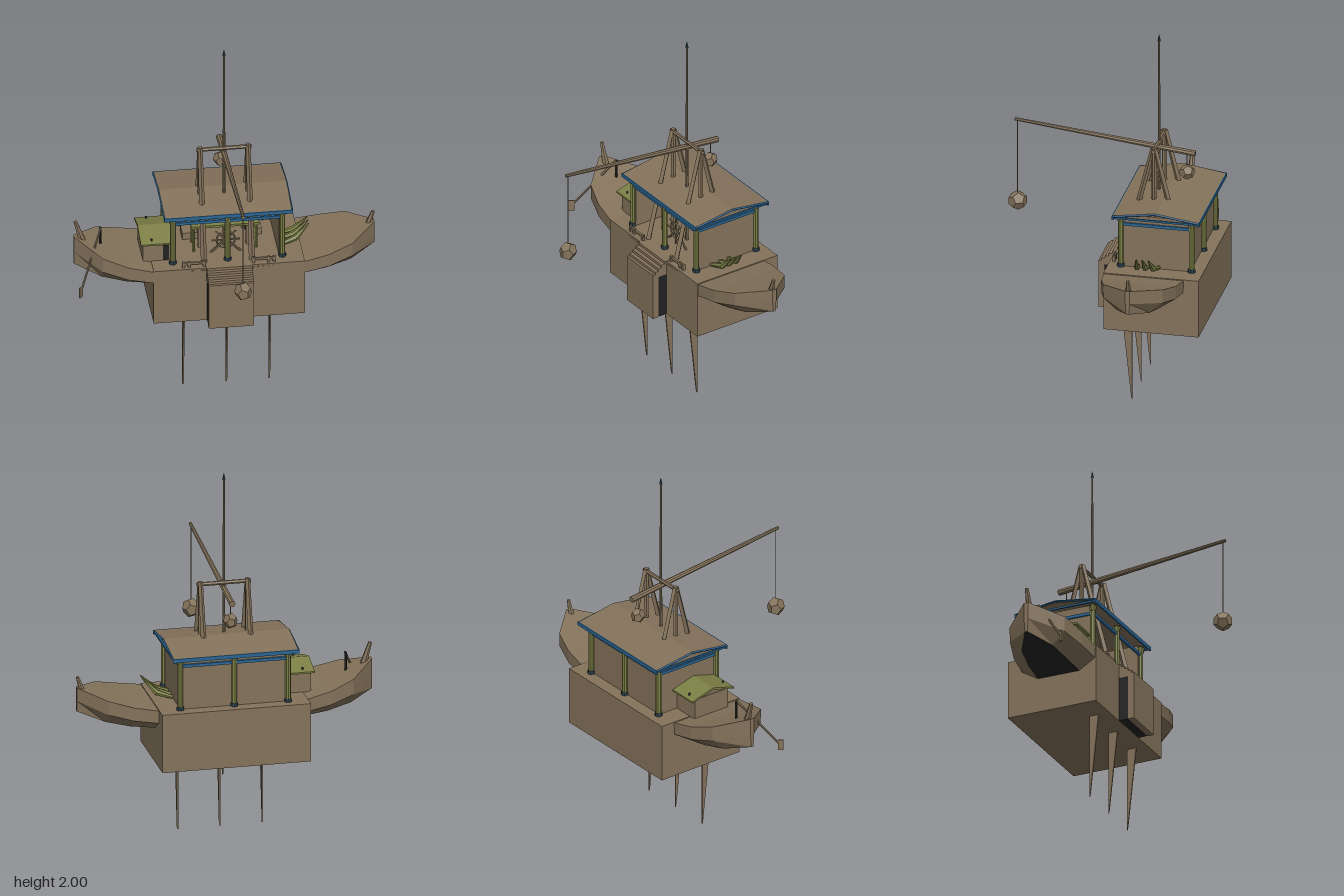
import * as THREE from 'three';

const mat = (name, color) => Object.assign(new THREE.MeshStandardMaterial({ color }), { name });
const CZ = -0.255; // centre line of the hull

export function createModel() {
  const model = new THREE.Group();
  model.name = 'riverHouseboat';
  const wood = mat('wood', 0x84735b);
  const green = mat('olive', 0x7b7f45);
  const blue = mat('blueTrim', 0x2a6492);
  const slate = mat('slateBlue', 0x2b3f4c);
  const dark = mat('dark', 0x222222);

  // Faceted mesh with hard edges
  function add(name, geo, material, parent = model) {
    const g = geo.index ? geo.toNonIndexed() : geo;
    g.computeVertexNormals();
    const mesh = new THREE.Mesh(g, material);
    mesh.name = name;
    parent.add(mesh);
    return mesh;
  }
  // Box given by its limits
  function box(name, m, x0, x1, y0, y1, z0, z1) {
    const mesh = add(name, new THREE.BoxGeometry(x1 - x0, y1 - y0, z1 - z0), m);
    mesh.position.set((x0 + x1) / 2, (y0 + y1) / 2, (z0 + z1) / 2);
    return mesh;
  }
  // Tapered pole from a to b
  function pole(name, m, a, b, r0, r1 = r0, sides = 6) {
    const A = new THREE.Vector3(...a), B = new THREE.Vector3(...b);
    const d = B.clone().sub(A);
    const mesh = add(name, new THREE.CylinderGeometry(r1, r0, d.length(), sides), m);
    mesh.position.copy(A).add(B).multiplyScalar(0.5);
    mesh.quaternion.setFromUnitVectors(new THREE.Vector3(0, 1, 0), d.normalize());
    return mesh;
  }
  // Outline in (z, y) extruded between x0 and x1
  function prism(name, m, points, x0, x1) {
    const shape = new THREE.Shape(points.map(([z, y]) => new THREE.Vector2(-z, y)));
    const g = new THREE.ExtrudeGeometry(shape, { depth: x1 - x0, bevelEnabled: false });
    g.rotateY(Math.PI / 2).translate(x0, 0, 0);
    return add(name, g, m);
  }

  // Hull: stations of [x, half width, deck y, keel y]
  const stations = [
    [-0.795, 0.012, 0.908, 0.74], [-0.66, 0.16, 0.852, 0.7], [-0.53, 0.2, 0.81, 0.672],
    [-0.4, 0.214, 0.782, 0.657], [0, 0.222, 0.772, 0.645], [0.4, 0.214, 0.782, 0.657],
    [0.53, 0.2, 0.805, 0.672], [0.66, 0.16, 0.838, 0.7], [0.795, 0.012, 0.872, 0.74],
  ];
  const rings = stations.map(([x, w, t, b]) => [
    [w, t], [w * 0.99, t * 0.45 + b * 0.55], [w * 0.56, b],
    [-w * 0.56, b], [-w * 0.99, t * 0.45 + b * 0.55], [-w, t],
  ].map(([z, y]) => [x, y, CZ + z]));
  const skin = { hullSides: [[0, 1, 3, 4, 5], wood], hullBottom: [[2], dark] };
  for (const [name, [strips, m]] of Object.entries(skin)) {
    const pos = [];
    for (let i = 0; i + 1 < rings.length; i++) for (const j of strips) {
      const k = (j + 1) % 6, p = rings[i], q = rings[i + 1];
      pos.push(...p[j], ...p[k], ...q[k], ...p[j], ...q[k], ...q[j]);
    }
    if (name === 'hullSides') for (let j = 1; j < 5; j++) {
      const p = rings[0], q = rings[rings.length - 1];
      pos.push(...p[0], ...p[j + 1], ...p[j], ...q[0], ...q[j], ...q[j + 1]);
    }
    const g = new THREE.BufferGeometry();
    g.setAttribute('position', new THREE.Float32BufferAttribute(pos, 3));
    add(name, g, m);
  }

  // Big platform block and front stairs
  box('platform', wood, -0.4, 0.4, 0.465, 0.787, -0.55, -0.038);
  box('stairCore', dark, -0.118, 0.118, 0.466, 0.725, -0.038, 0.016);
  box('stairFront', wood, -0.12, 0.12, 0.465, 0.73, 0.016, 0.05);
  for (let i = 0; i < 4; i++)
    box('stairTread', wood, -0.12, 0.12, 0.71, 0.745 + i * 0.015, -0.06, 0.035 - i * 0.02);

  // Low front railing
  for (const s of [-1, 1]) {
    box('lowRail', wood, Math.min(s * 0.12, s * 0.245), Math.max(s * 0.12, s * 0.245), 0.803, 0.815, -0.067, -0.055);
    for (const x of [0.13, 0.21, 0.24])
      box('railPost', wood, s * x - 0.007, s * x + 0.007, 0.78, 0.82, -0.068, -0.053);
  }

  // Blade-like spikes below
  for (const x of [-0.23, 0, 0.227])
    prism('bottomSpike', wood, [[-0.102, 0.47], [-0.155, 0.47], [-0.155, 0], [-0.15, 0.02]], x - 0.004, x + 0.004);
  pole('smallSpike', wood, [0.01, 0.47, -0.25], [0.006, 0.32, -0.25], 0.01, 0.003, 4);

  // Main cabin, open towards the front
  box('backWall', wood, -0.28, 0.28, 0.785, 1.08, -0.48, -0.465);
  for (const s of [-1, 1])
    box('sideWall', wood, s * 0.28 - 0.007, s * 0.28 + 0.007, 0.785, 1.08, -0.48, -0.115);

  // Columns and the blue beams between them
  for (const z of [-0.108, -0.488]) {
    for (const x of [-0.29, 0, 0.29]) {
      pole('column', green, [x, 0.79, z], [x, 1.075, z], 0.015, 0.015, 8);
      pole('columnFoot', slate, [x, 0.785, z], [x, 0.805, z], 0.021, 0.019, 8);
      pole('columnCap', green, [x, 1.04, z], [x, 1.068, z], 0.016, 0.022, 8);
    }
    box('longBeam', blue, -0.3, 0.3, 1.022, 1.038, z - 0.006, z + 0.006);
  }
  for (const x of [-0.29, 0.29]) box('sideBeam', blue, x - 0.006, x + 0.006, 1.022, 1.038, -0.488, -0.108);

  // Main gable roof with blue edging
  prism('mainRoof', wood, [[-0.075, 1.079], [-0.075, 1.089], [-0.305, 1.124], [-0.534, 1.089],
    [-0.534, 1.079], [-0.305, 1.112]], -0.337, 0.337);
  for (const z of [-0.075, -0.534]) box('eaveTrim', blue, -0.34, 0.34, 1.068, 1.089, z - 0.005, z + 0.005);
  for (const s of [-1, 1]) {
    box('gableTie', blue, s * 0.33 - 0.005, s * 0.33 + 0.005, 1.072, 1.082, -0.53, -0.08);
    for (const z of [-0.075, -0.534])
      pole('gableTrim', blue, [s * 0.337, 1.085, z], [s * 0.337, 1.117, -0.305], 0.006, 0.006, 4);
  }

  // Tall lever frame: splayed legs, posts and axle
  for (const x of [-0.127, 0.127]) {
    for (const s of [-1, 1])
      pole('frameLeg', wood, [x, 0.785, -0.25 + s * 0.157], [x, 1.4, -0.25 + s * 0.006], 0.016, 0.013, 4);
    pole('framePost', wood, [x, 0.785, -0.25], [x, 1.405, -0.25], 0.013, 0.013, 6);
  }
  pole('axle', wood, [-0.145, 1.39, -0.25], [0.145, 1.39, -0.25], 0.011);

  // Lever beam with two hanging stones
  pole('leverBeam', wood, [0, 1.337, -0.445], [0, 1.445, 0.525], 0.017, 0.009, 8);
  pole('longRope', wood, [0, 1.44, 0.51], [0, 1.02, 0.51], 0.0025, 0.0025, 4);
  pole('shortRope', wood, [0, 1.34, -0.4], [0, 1.26, -0.4], 0.0025, 0.0025, 4);
  for (const [y, z, r] of [[0.98, 0.51, 0.052], [1.229, -0.4, 0.042]]) {
    const stone = add('hangingStone', new THREE.DodecahedronGeometry(r), wood);
    stone.scale.x = 0.88;
    stone.rotation.y = 0.4;
    stone.position.set(0, y, z);
  }

  // Mast with a small finial
  pole('mast', wood, [0, 0.79, -0.25], [0, 1.98, -0.25], 0.009, 0.005, 8);
  pole('mastFinial', slate, [0, 1.965, -0.25], [0, 2, -0.25], 0.009, 0.001, 6);

  // Small side hut with its olive roof
  box('hutWalls', wood, -0.443, -0.28, 0.785, 0.902, -0.365, -0.145);
  prism('hutGable', wood, [[-0.145, 0.9], [CZ, 0.93], [-0.365, 0.9]], -0.44, -0.28);
  box('hutDoor', dark, -0.338, -0.305, 0.79, 0.88, -0.146, -0.141);
  prism('hutRoof', green, [[-0.118, 0.897], [-0.118, 0.906], [CZ, 0.945], [-0.392, 0.906],
    [-0.392, 0.897], [CZ, 0.933]], -0.457, -0.28);
  for (const z of [-0.145, -0.365]) pole('hutPeg', slate, [-0.397, 0.89, z], [-0.397, 0.925, z], 0.005);

  // Olive shelter and spoked wheel inside the cabin
  const canopy = box('innerCanopy', green, -0.18, 0.18, 0.936, 0.95, -0.31, -0.2);
  canopy.rotation.x = 0.12;
  for (const x of [-0.165, 0.165]) for (const z of [-0.3, -0.21])
    pole('canopyPost', green, [x, 0.785, z], [x, 0.94, z], 0.007);
  const wheel = new THREE.Group();
  wheel.name = 'spokedWheel';
  wheel.position.set(0, 0.865, -0.18);
  model.add(wheel);
  add('wheelRim', new THREE.TorusGeometry(0.05, 0.005, 4, 12), wood, wheel);
  for (let i = 0; i < 4; i++)
    add('wheelSpoke', new THREE.BoxGeometry(0.15, 0.007, 0.007), wood, wheel).rotation.z = i * Math.PI / 4;
  for (const s of [-1, 1]) {
    pole('wheelStand', wood, [s * 0.08, 0.785, -0.19], [0, 0.865, -0.19], 0.006);
    box('bench', wood, s * 0.17 - 0.04, s * 0.17 + 0.04, 0.785, 0.825, -0.42, -0.33);
  }

  // Olive three-pronged bundle on the left deck
  for (const s of [-1, 0, 1]) {
    const z = -0.257;
    pole('prongBase', green, [0.29, 0.797, z + s * 0.055], [0.375, 0.825, z + s * 0.043], 0.01, 0.017);
    pole('prongTip', green, [0.375, 0.825, z + s * 0.043], [0.445, 0.9, z + s * 0.032], 0.017, 0.003);
  }

  // Stem posts on both ends
  pole('rightStem', wood, [-0.748, 0.87, CZ], [-0.787, 0.995, CZ], 0.02, 0.01);
  pole('leftStem', wood, [0.76, 0.84, CZ], [0.79, 0.93, CZ], 0.018, 0.009);

  // Steering oar with its crutch
  pole('oarCrutch', dark, [-0.655, 0.83, CZ], [-0.655, 0.95, CZ], 0.007);
  pole('oarShaft', wood, [-0.652, 0.95, -0.25], [-0.778, 0.69, -0.065], 0.006);
  const blade = box('oarBlade', wood, -0.797, -0.767, 0.65, 0.71, -0.062, -0.054);
  blade.rotation.y = 0.9;

  return model;
}
